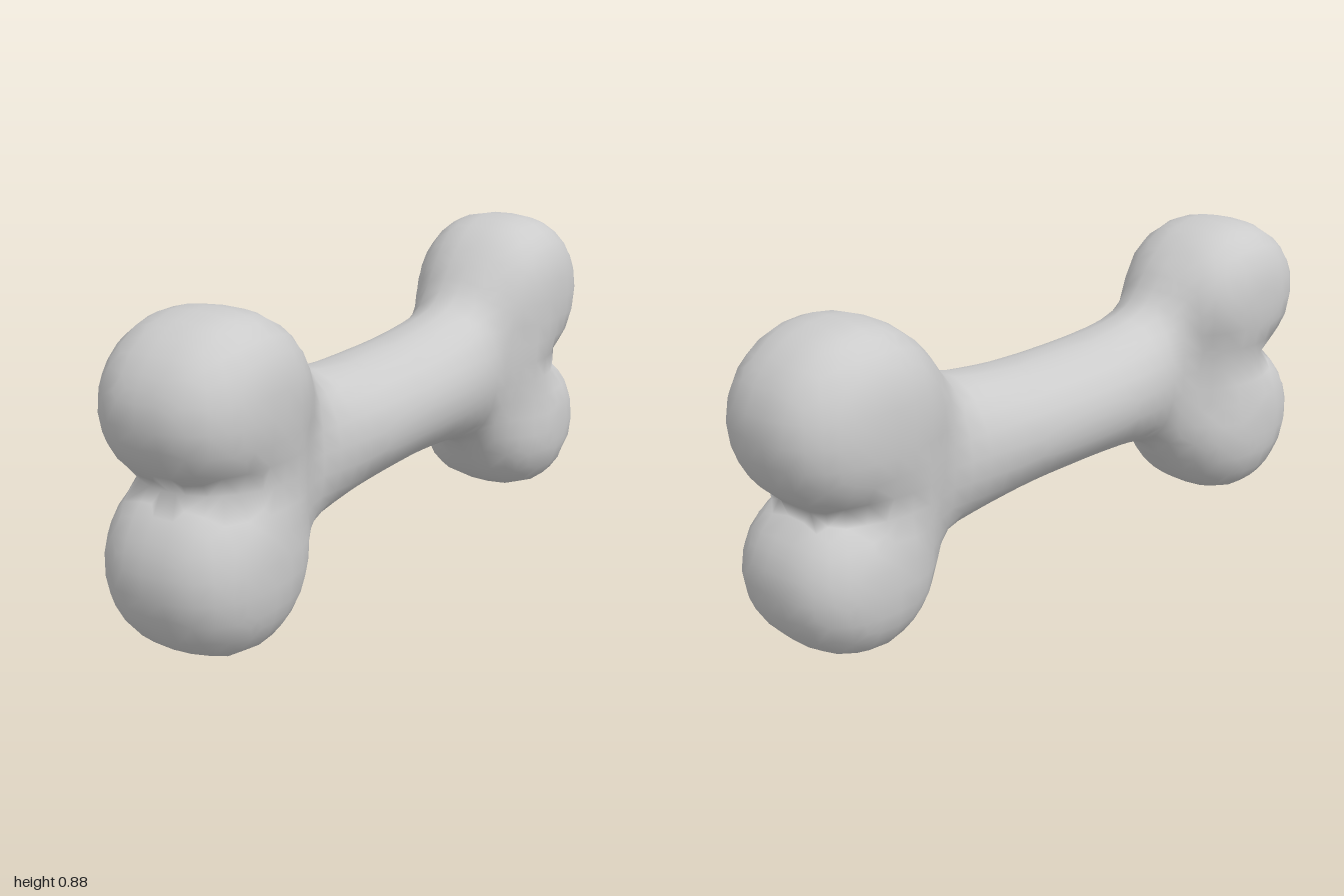
import * as THREE from 'three';

// Knobs at the two ends: centre and radii
const knobs = [
  { end: 1, c: [-0.02, 0.652, 0.738], r: [0.225, 0.226, 0.262] },
  { end: 1, c: [-0.02, 0.248, 0.755], r: [0.225, 0.246, 0.247] },
  { end: -1, c: [0.01, 0.638, -0.735], r: [0.225, 0.248, 0.265] },
  { end: -1, c: [0.02, 0.224, -0.745], r: [0.225, 0.222, 0.23] },
];
// Cores that fill the sides between each pair of knobs
const cores = [
  { end: 1, c: [-0.015, 0.45, 0.68], r: [0.19, 0.2, 0.14] },
  { end: -1, c: [0.015, 0.43, -0.66], r: [0.19, 0.2, 0.14] },
];

// Smooth union of two distances
function blend(a, b, k) {
  const h = Math.max(k - Math.abs(a - b), 0) / k;
  return Math.min(a, b) - h * h * k * 0.25;
}

// Ellipsoid, slightly squared off sideways
function blob(p, { c, r }) {
  const n = 2.6;
  const q = [0, 1, 2].map((i) => (p[i] - c[i]) / r[i]);
  const round = Math.hypot(q[1], q[2]);
  return (Math.pow(Math.pow(Math.abs(q[0]), n) + Math.pow(round, n), 1 / n) - 1) * 0.23;
}

// Shaft: flares in height towards the ends, its waist narrower at the front
function shaft([x, y, z]) {
  const t = Math.min(Math.abs(z) / 0.45, 1.1);
  const rx = 0.186 - (z > 0 ? 0.038 : 0.02) * t * t * t;
  const ry = 0.172 + 0.053 * Math.pow(t, z > 0 ? 3 : 2.3);
  const cx = z > 0 ? 0 : 0.01 * t;
  const d = (Math.hypot((x - cx) / rx, (y - 0.445) / ry) - 1) * 0.17;
  return Math.max(d, Math.abs(z) - 0.6);
}

// Distance to the whole bone
function bone(p) {
  const end = p[2] >= 0 ? 1 : -1;
  const [a, b] = knobs.filter((k) => k.end === end);
  const core = cores.find((k) => k.end === end);
  let d = blend(blob(p, a), blob(p, b), 0.035);
  d = blend(d, blob(p, core), 0.07);
  return blend(d, shaft(p), 0.11);
}

function gradient(p) {
  const e = 0.008;
  return [0, 1, 2].map((i) => {
    const hi = [...p], lo = [...p];
    hi[i] += e;
    lo[i] -= e;
    return (bone(hi) - bone(lo)) / (2 * e);
  });
}

// Wraps a coarse quad skin around the distance field
function skin(min, size, step) {
  const n = size.map((s) => Math.ceil(s / step) + 1);
  const stride = [1, n[0], n[0] * n[1]];
  const total = n[0] * n[1] * n[2];
  const at = (i) => [
    min[0] + (i % n[0]) * step,
    min[1] + (Math.floor(i / n[0]) % n[1]) * step,
    min[2] + Math.floor(i / stride[2]) * step,
  ];
  const field = new Float32Array(total);
  for (let i = 0; i < total; i++) field[i] = bone(at(i));

  const positions = [], normals = [], index = [];
  const made = new Map();
  // One vertex per crossed cell, pulled onto the surface
  const vertex = (cell) => {
    if (made.has(cell)) return made.get(cell);
    let p = [0, 0, 0], count = 0;
    for (let a = 0; a < 3; a++) {
      const u = stride[(a + 1) % 3], v = stride[(a + 2) % 3];
      for (const from of [cell, cell + u, cell + v, cell + u + v]) {
        const f0 = field[from], f1 = field[from + stride[a]];
        if (f0 < 0 === f1 < 0) continue;
        const q = at(from);
        q[a] += (step * f0) / (f0 - f1);
        p = p.map((s, i) => s + q[i]);
        count++;
      }
    }
    p = p.map((s) => s / count);
    for (let k = 0; k < 3; k++) {
      const g = gradient(p), d = bone(p);
      const len2 = Math.max(g[0] ** 2 + g[1] ** 2 + g[2] ** 2, 0.3);
      p = p.map((s, i) => s - (d * g[i]) / len2);
    }
    const g = gradient(p), len = Math.hypot(...g);
    positions.push(...p);
    normals.push(...g.map((s) => s / len));
    made.set(cell, positions.length / 3 - 1);
    return positions.length / 3 - 1;
  };

  // One quad around each crossed grid edge
  for (let i = stride[2]; i < total - stride[2]; i++) {
    for (let a = 0; a < 3; a++) {
      const inside = field[i] < 0;
      if (inside === field[i + stride[a]] < 0) continue;
      const u = stride[(a + 1) % 3], v = stride[(a + 2) % 3];
      const q = [i - u - v, i - v, i, i - u].map(vertex);
      if (!inside) q.reverse();
      index.push(q[0], q[1], q[2], q[0], q[2], q[3]);
    }
  }

  const geometry = new THREE.BufferGeometry();
  geometry.setAttribute('position', new THREE.Float32BufferAttribute(positions, 3));
  geometry.setAttribute('normal', new THREE.Float32BufferAttribute(normals, 3));
  geometry.setIndex(index);
  return geometry;
}

export function createModel() {
  const group = new THREE.Group();
  group.name = 'bone';
  const material = new THREE.MeshStandardMaterial({ color: 0xcccccc });
  const mesh = new THREE.Mesh(skin([-0.36, -0.11, -1.12], [0.72, 1.12, 2.24], 0.06), material);
  mesh.name = 'boneBody';
  group.add(mesh);
  return group;
}
